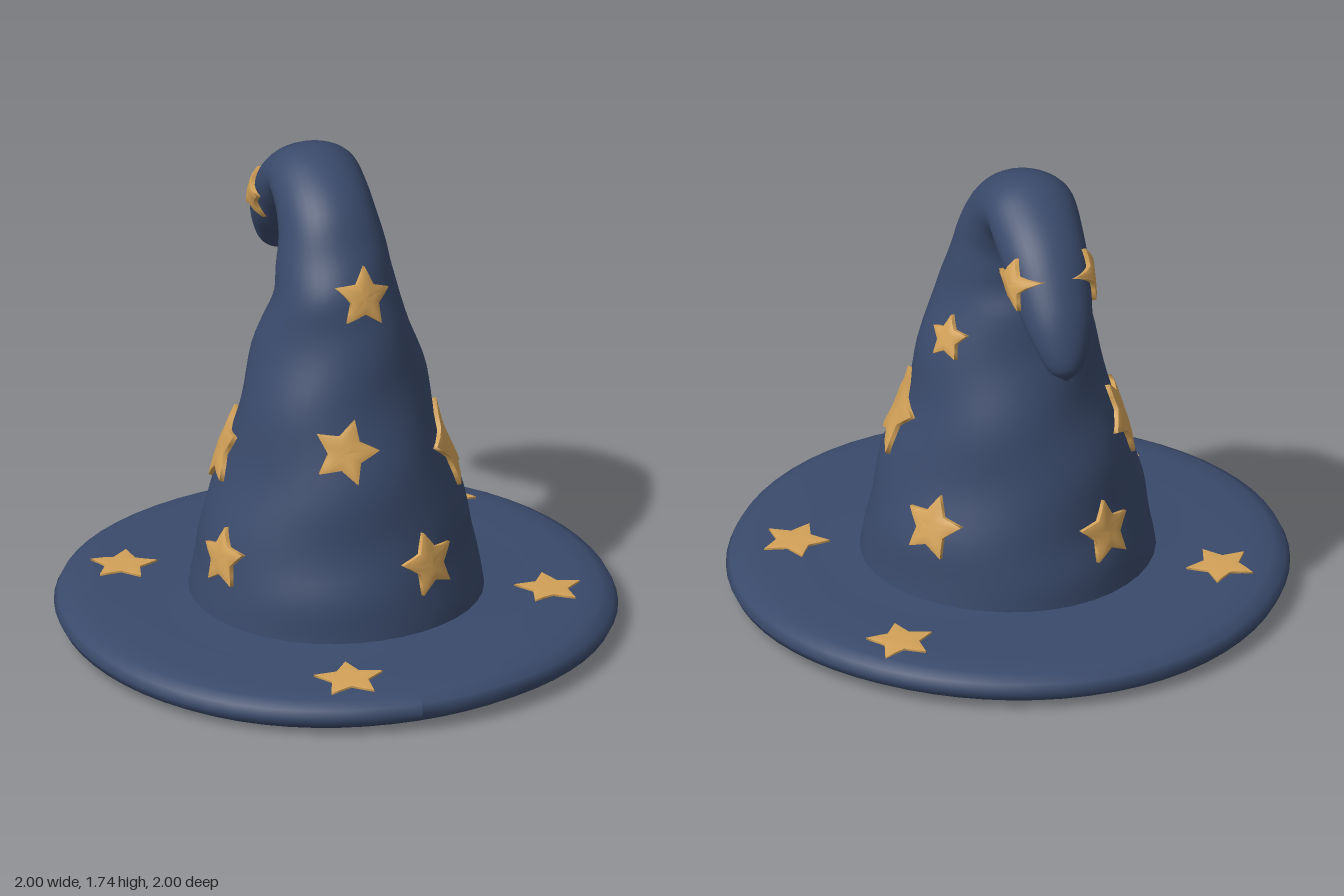
import * as THREE from 'three';

const V = (x, y, z) => new THREE.Vector3(x, y, z);

// Skin a list of closed rings, each with the same number of points
function loft(rings) {
  const n = rings[0].length, index = [];
  for (let i = 0; i < rings.length - 1; i++) {
    for (let j = 0; j < n; j++) {
      const a = i * n + j, b = i * n + (j + 1) % n;
      index.push(a, b, b + n, a, b + n, a + n);
    }
  }
  const geo = new THREE.BufferGeometry().setFromPoints(rings.flat());
  geo.setIndex(index);
  geo.computeVertexNormals();
  return geo;
}

// Bent crown sections: [outer z, outer y, inner z, inner y, half width]
const SECTIONS = [
  [0.525, 0.11, -0.525, 0.11, 0.53], [0.505, 0.25, -0.505, 0.25, 0.51],
  [0.47, 0.40, -0.475, 0.40, 0.475], [0.425, 0.60, -0.425, 0.60, 0.42],
  [0.36, 0.82, -0.37, 0.80, 0.355], [0.30, 1.03, -0.315, 1.00, 0.305],
  [0.24, 1.22, -0.26, 1.18, 0.25], [0.20, 1.36, -0.225, 1.28, 0.215],
  [0.13, 1.48, -0.225, 1.36, 0.195], [0.04, 1.61, -0.23, 1.42, 0.18],
  [-0.09, 1.70, -0.25, 1.47, 0.17], [-0.25, 1.745, -0.29, 1.50, 0.165],
  [-0.40, 1.69, -0.33, 1.45, 0.16], [-0.53, 1.60, -0.40, 1.39, 0.15],
  [-0.63, 1.48, -0.48, 1.31, 0.135], [-0.70, 1.36, -0.56, 1.25, 0.11],
  [-0.735, 1.22, -0.64, 1.175, 0.06], [-0.70, 1.155, -0.69, 1.155, 0.0],
];

function crownGeometry() {
  const outer = new THREE.CatmullRomCurve3(SECTIONS.map((s) => V(s[4], s[1], s[0])));
  const inner = new THREE.CatmullRomCurve3(SECTIONS.map((s) => V(s[4], s[3], s[2])));
  const rings = [], steps = 68, sides = 40;
  for (let i = 0; i <= steps; i++) {
    const t = i / steps, o = outer.getPoint(t), n = inner.getPoint(t);
    const mid = o.clone().add(n).multiplyScalar(0.5);
    const half = o.clone().sub(n).multiplyScalar(0.5);
    const fold = 0.022 * Math.max(0, Math.sin(Math.PI * Math.min(1, t * 1.7)));
    const ring = [];
    for (let j = 0; j < sides; j++) {
      const a = (j / sides) * Math.PI * 2;
      // Soft slanted cloth folds
      const k = 1 + fold * (Math.sin(2 * a + t * 38) + 0.6 * Math.sin(3 * a - t * 55));
      const c = Math.cos(a) * k;
      ring.push(V(o.x * Math.sin(a) * k, mid.y + half.y * c, mid.z + half.z * c));
    }
    rings.push(ring);
  }
  return loft(rings);
}

// Thick rounded disc with a slightly wavy rim
function brimGeometry() {
  const profile = [[0, 0.015], [0.5, 0.015], [0.86, 0.008], [0.94, 0.016], [0.985, 0.042], [1, 0.072],
    [0.985, 0.102], [0.94, 0.125], [0.86, 0.135], [0.7, 0.138], [0.56, 0.142], [0.4, 0.155]];
  const geo = new THREE.LatheGeometry(profile.map((p) => new THREE.Vector2(p[0], p[1])), 64);
  const pos = geo.attributes.position;
  for (let i = 0; i < pos.count; i++) {
    const x = pos.getX(i), z = pos.getZ(i), r = Math.hypot(x, z), a = Math.atan2(x, z);
    pos.setY(i, pos.getY(i) + 0.008 * r * r * Math.sin(3 * a + 0.6));
  }
  geo.computeVertexNormals();
  return geo;
}

// Padded star draped over the target mesh along direction -n
function starGeometry(target, origin, n, radius, roll, lift) {
  n.normalize();
  const up = Math.abs(n.y) > 0.9 ? V(0, 0, -1) : V(0, 1, 0);
  const u = up.cross(n).normalize(), v = n.clone().cross(u);
  const ray = new THREE.Raycaster();
  const drape = (x, y, h) => {
    const p = origin.clone().addScaledVector(u, x).addScaledVector(v, y);
    ray.set(p.clone().addScaledVector(n, 0.25), n.clone().negate());
    const hit = ray.intersectObject(target)[0];
    const depth = hit ? Math.max(0.25 - hit.distance, -0.15) : -0.06;
    return p.addScaledVector(n, depth + h);
  };
  const corners = [];
  for (let k = 0; k < 10; k++) {
    const a = Math.PI / 2 + roll + (k * Math.PI) / 5, r = radius * (k % 2 ? 0.52 : 1);
    corners.push([Math.cos(a) * r, Math.sin(a) * r]);
  }
  const outline = corners.flatMap((c, k) => {
    const d = corners[(k + 1) % 10];
    return [c, [(c[0] + d[0]) / 2, (c[1] + d[1]) / 2]];
  });
  // [scale, height]: skirt, crisp rim, padded face
  const levels = [[1, -0.012], [1, lift * 0.8], [1, lift * 0.8], [0.75, lift], [0.4, lift], [0, lift]];
  return loft(levels.map(([s, h]) => outline.map(([x, y]) => drape(x * s, y * s, h))));
}

// [x, y, z, normal x, normal y, normal z, radius, roll]
const CROWN_STARS = [
  [0.04, 1.34, 0.2, 0.1, 0.3, 1, 0.112, -0.15],
  [-0.08, 0.82, 0.36, -0.2, 0.25, 1, 0.122, -0.3],
  [0.21, 0.38, 0.43, 0.45, 0.15, 0.9, 0.118, 0.12],
  [0.39, 0.7, 0.11, 1, 0.25, 0.25, 0.17, 0],
  [0.26, 1.08, -0.13, 1, 0.25, -0.45, 0.085, 0.1],
  [0.37, 0.42, -0.29, 0.8, 0.15, -0.62, 0.118, -0.1],
  [-0.38, 0.68, -0.13, -1, 0.25, -0.35, 0.15, 0.35],
  [-0.23, 0.37, -0.41, -0.5, 0.15, -0.88, 0.118, 0],
  [-0.46, 0.37, 0.14, -1, 0.15, 0.3, 0.112, 0.1],
  [0.14, 1.47, -0.51, 1, 0, 0, 0.098, 0.1],
  [-0.14, 1.47, -0.51, -1, 0, 0, 0.098, -0.1],
];

// [x, z, radius, roll]
const BRIM_STARS = [
  [0.58, -0.58, 0.125, 0.5], [-0.67, -0.38, 0.125, -0.4],
  [0.71, 0.26, 0.125, -0.1], [-0.2, 0.77, 0.13, -0.2],
];

export function createModel() {
  const cloth = new THREE.MeshStandardMaterial({ color: 0x3a4a6b });
  cloth.name = 'navy cloth';
  const gold = new THREE.MeshStandardMaterial({ color: 0xd2a158 });
  gold.name = 'gold';
  const group = new THREE.Group();
  group.name = 'starryHat';
  const add = (name, geo, material) => {
    const mesh = new THREE.Mesh(geo, material);
    mesh.name = name;
    group.add(mesh);
    return mesh;
  };

  const brim = add('brim', brimGeometry(), cloth);
  const crown = add('crown', crownGeometry(), cloth);
  for (const [x, y, z, nx, ny, nz, r, roll] of CROWN_STARS) {
    add('crownStar', starGeometry(crown, V(x, y, z), V(nx, ny, nz), r, roll, 0.02), gold);
  }
  for (const [x, z, r, roll] of BRIM_STARS) {
    add('brimStar', starGeometry(brim, V(x, 0.14, z), V(0, 1, 0), r, roll, 0.009), gold);
  }
  return group;
}
